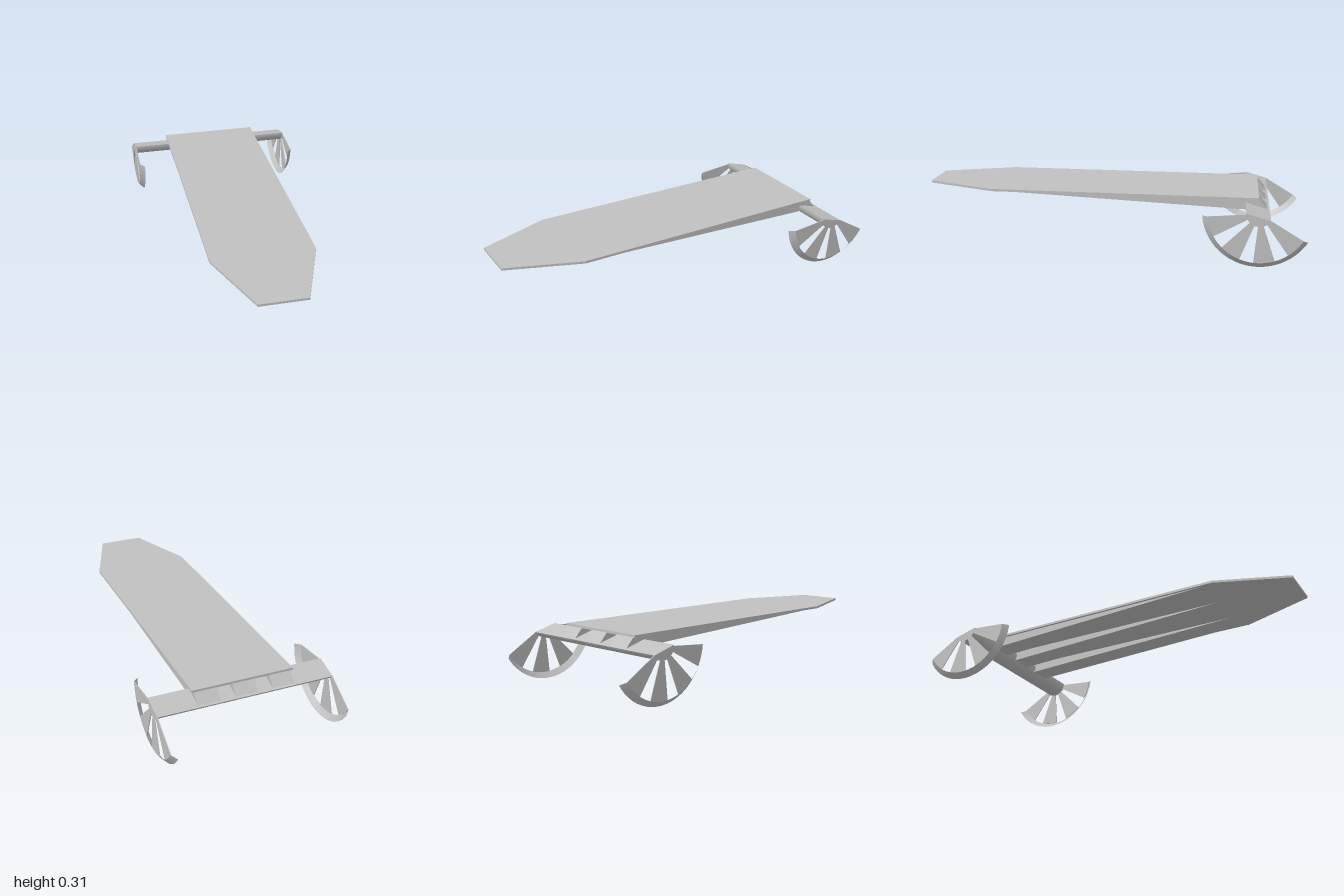
import * as THREE from 'three';
import { toCreasedNormals } from 'three/addons/utils/BufferGeometryUtils.js';

const CZ = -0.76, CY = 0.278;          // axle centre
const HUB = 0.065, INNER = 0.25, OUTER = 0.278;
const START = 5, END = 149;            // wheel arc, degrees below the front horizontal
const SPOKES = 4, SPOKE = 24, GAP = (END - START - SPOKES * SPOKE) / (SPOKES - 1);
const rad = THREE.MathUtils.degToRad;

// Points of an arc around the axle in the (z, y) plane
function arc(r, a0, a1, n) {
  return Array.from({ length: n + 1 }, (_, i) => {
    const a = rad(a0 + (a1 - a0) * i / n);
    return new THREE.Vector2(CZ + r * Math.cos(a), CY - r * Math.sin(a));
  });
}

// Extrude a (z, y) side profile across x, centred on x = 0
function sideExtrude(points, width) {
  const geo = new THREE.ExtrudeGeometry(new THREE.Shape(points), { depth: width, bevelEnabled: false });
  geo.translate(0, 0, -width / 2);
  geo.rotateY(-Math.PI / 2);
  return toCreasedNormals(geo, 0.5);
}

export function createModel() {
  const model = new THREE.Group();
  const grey = new THREE.MeshStandardMaterial({ color: 0xc0c0c0, side: THREE.DoubleSide });
  grey.name = 'light grey';
  const add = (parent, name, geo, x = 0) => {
    const mesh = new THREE.Mesh(geo, grey);
    mesh.name = name;
    mesh.position.x = x;
    parent.add(mesh);
    return mesh;
  };

  // Flat deck with a tapered nose
  const outline = [[-0.262, 0.76], [0.262, 0.76], [0.262, -0.625], [0.12, -1], [-0.12, -1], [-0.262, -0.625]];
  const deckShape = new THREE.Shape(outline.map(([x, y]) => new THREE.Vector2(x, y)).reverse());
  const deck = new THREE.ExtrudeGeometry(deckShape, { depth: 0.012, bevelEnabled: false });
  deck.rotateX(-Math.PI / 2);
  deck.translate(0, 0.294, 0);
  add(model, 'deck', deck);

  // Three long wedge ribs under the deck
  const ribProfile = [[0.6, 0.295], [-0.76, 0.295], [-0.812, 0.238]].map(([z, y]) => new THREE.Vector2(z, y));
  for (const x of [-0.193, 0, 0.193]) add(model, 'rib', sideExtrude(ribProfile, 0.115), x);

  // Cross beam: round below, sloping flat top
  add(model, 'crossBeam', sideExtrude(arc(HUB, 0, END, 24), 0.91));

  // Fan wheels: flat spokes on the outside, conical rim turned inward
  for (const side of [-1, 1]) {
    const wheel = new THREE.Group();
    wheel.name = side > 0 ? 'leftWheel' : 'rightWheel';
    for (let i = 0; i < SPOKES; i++) {
      const a = START + i * (SPOKE + GAP);
      const points = [...arc(HUB - 0.005, a, a + SPOKE, 4), ...arc(INNER, a + SPOKE, a, 8)];
      add(wheel, 'spoke', sideExtrude(points, 0.004), side * 0.453);
    }
    const rim = new THREE.CylinderGeometry(
      side > 0 ? INNER : OUTER, side > 0 ? OUTER : INNER, 0.027, 40, 1, true, rad(START), rad(END - START));
    rim.rotateZ(-Math.PI / 2);
    rim.translate(0, CY, CZ);
    add(wheel, 'rim', rim, side * 0.4415);
    model.add(wheel);
  }
  return model;
}
